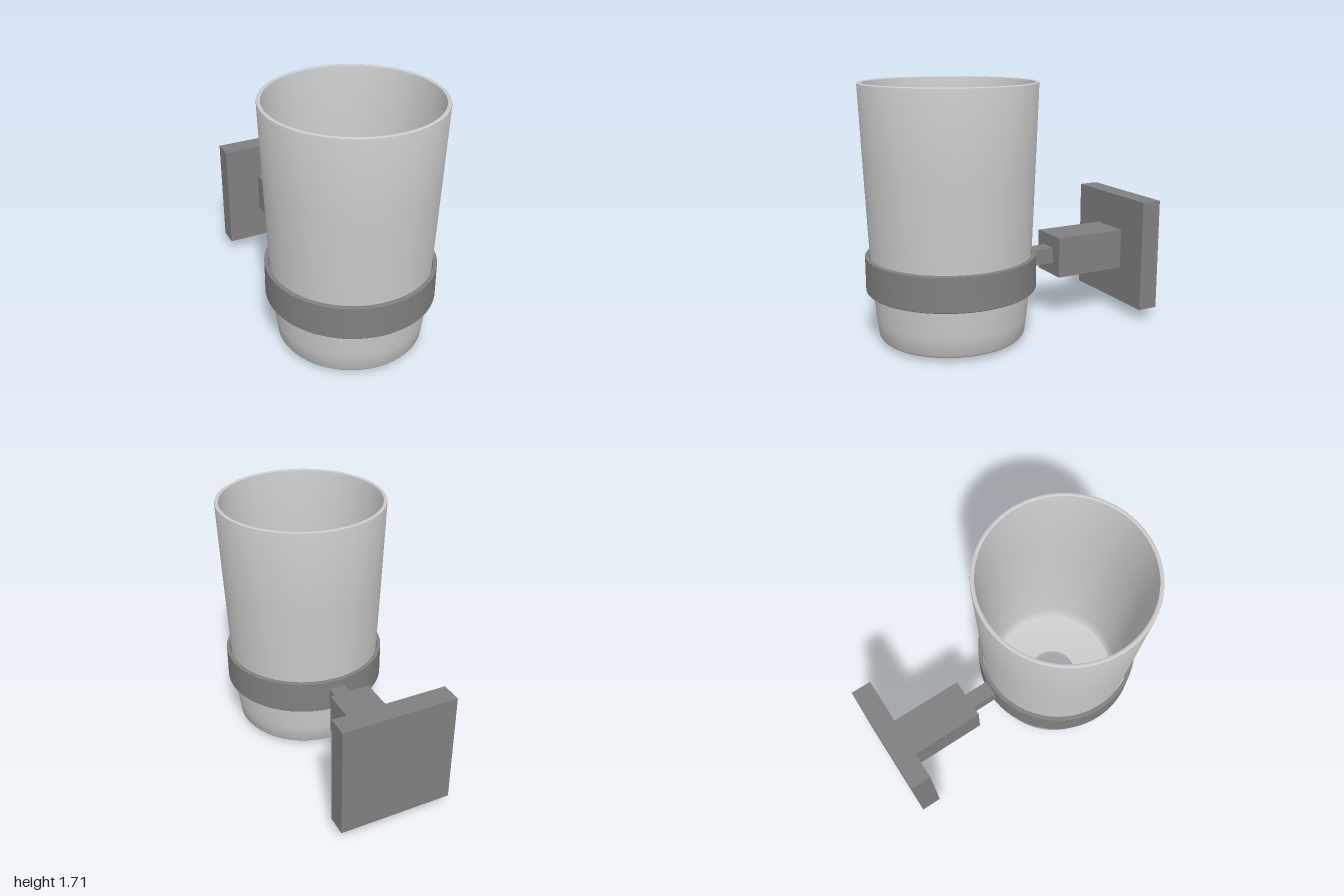
import * as THREE from 'three';
import { toCreasedNormals } from 'three/addons/utils/BufferGeometryUtils.js';

const CUP_Z = 0.42;

export function createModel() {
  const group = new THREE.Group();
  const cupMaterial = new THREE.MeshStandardMaterial({ color: 0xcccccc });
  const holderMaterial = new THREE.MeshStandardMaterial({ color: 0x808080 });

  // Closed profile [radius, height] turned around the cup axis
  const turned = (name, profile, material) => {
    const points = [...profile, profile[0]].map(([r, y]) => new THREE.Vector2(r, y));
    const mesh = new THREE.Mesh(toCreasedNormals(new THREE.LatheGeometry(points, 64), 0.6), material);
    mesh.name = name;
    mesh.position.z = CUP_Z;
    group.add(mesh);
  };

  // Box given by its width, y range and z range
  const block = (name, width, y0, y1, z0, z1) => {
    const mesh = new THREE.Mesh(new THREE.BoxGeometry(width, y1 - y0, z1 - z0), holderMaterial);
    mesh.name = name;
    mesh.position.set(0.005, (y0 + y1) / 2, (z0 + z1) / 2);
    group.add(mesh);
  };

  // Tapered tumbler with rounded foot, rounded rim and a drain hole
  turned('cup', [
    [0.167, 0], [0.28, 0.004], [0.39, 0.012], [0.45, 0.021], [0.478, 0.031], [0.489, 0.046],
    [0.503, 0.16], [0.521, 0.35], [0.535, 0.58], [0.557, 1.14], [0.578, 1.695],
    [0.576, 1.704], [0.57, 1.708], [0.558, 1.708], [0.552, 1.704], [0.55, 1.695],
    [0.529, 1.14], [0.507, 0.58], [0.493, 0.35], [0.475, 0.16], [0.464, 0.075],
    [0.45, 0.058], [0.4, 0.046], [0.28, 0.036], [0.167, 0.032],
  ], cupMaterial);

  // Band that carries the cup
  turned('holderRing', [
    [0.54, 0.352], [0.562, 0.352], [0.566, 0.356], [0.566, 0.581],
    [0.562, 0.585], [0.54, 0.585],
  ], holderMaterial);

  // Wall bracket
  block('ringStem', 0.115, 0.415, 0.525, -0.335, -0.135);
  block('armCollar', 0.285, 0.33, 0.613, -0.475, -0.335);
  block('arm', 0.285, 0.33, 0.613, -0.857, -0.475);
  block('wallPlate', 0.78, 0.08, 0.86, -1, -0.857);

  return group;
}
